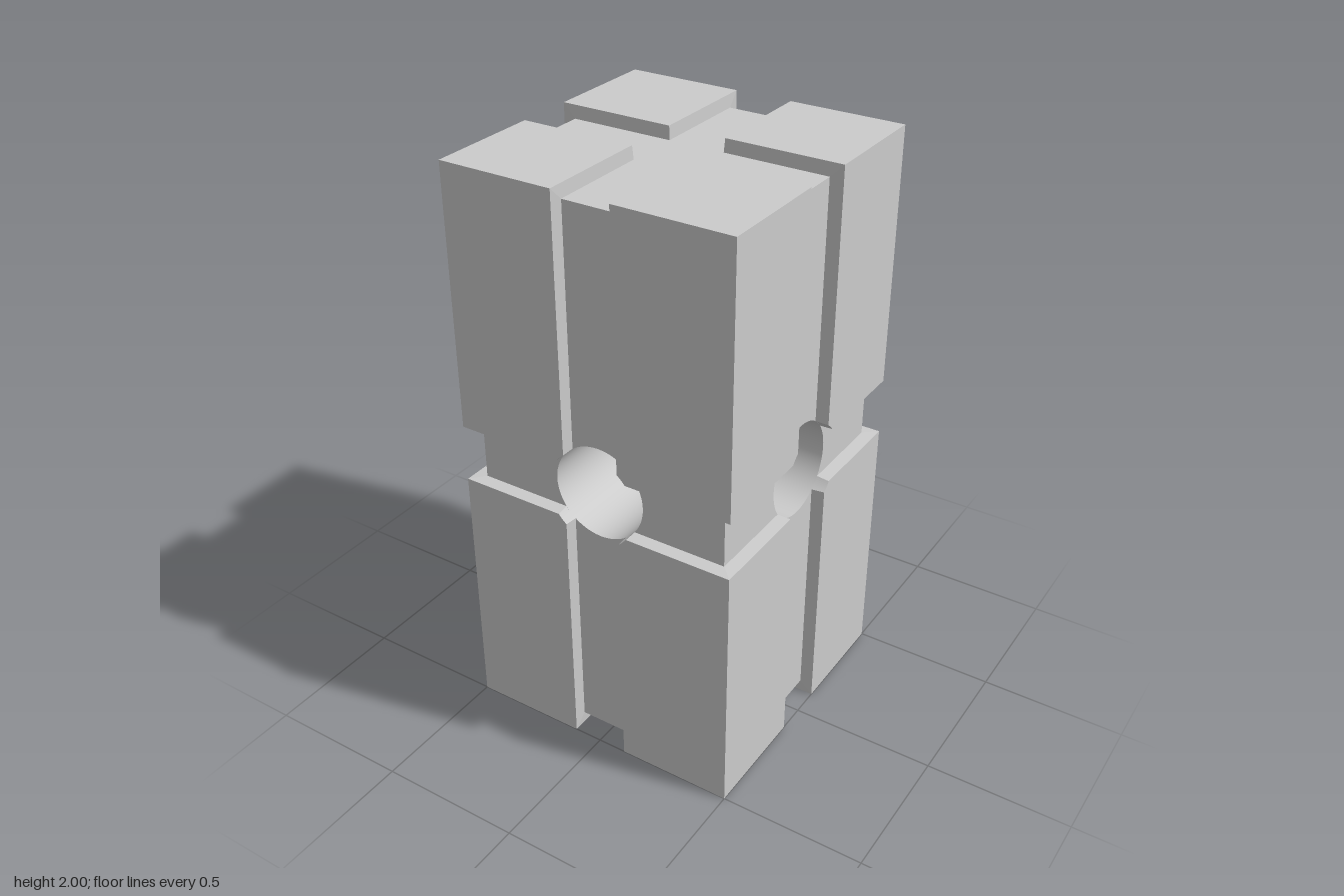
import * as THREE from 'three';
import { mergeVertices } from 'three/addons/utils/BufferGeometryUtils.js';

const R = 0.163;         // radius of the two crossing tunnels
const DEPTH = 0.045;     // groove depth
const G_OUT = 0.1;       // groove half width at the surface
const G_IN = 0.097;      // groove half width at its floor
const material = new THREE.MeshStandardMaterial({ color: 0xcccccc });

// Surface strip between two matching rows of points
function loft(a, b, smooth = false) {
  const p = [];
  const put = (...vs) => vs.forEach(v => p.push(v.x, v.y, v.z));
  for (let i = 0; i < a.length - 1; i++) {
    put(a[i], a[i + 1], b[i + 1], a[i], b[i + 1], b[i]);
  }
  let g = new THREE.BufferGeometry();
  g.setAttribute('position', new THREE.Float32BufferAttribute(p, 3));
  if (smooth) g = mergeVertices(g);
  g.computeVertexNormals();
  return g;
}

function add(group, name, geometry, z = 0) {
  const mesh = new THREE.Mesh(geometry, material);
  mesh.name = name;
  mesh.position.z = z;
  group.add(mesh);
}

const flat = points => new THREE.ShapeGeometry(new THREE.Shape(points));

// Points on the tunnel circle
function arc(from, to, n) {
  return Array.from({ length: n + 1 }, (_, i) => {
    const t = from + (to - from) * i / n;
    return new THREE.Vector2(R * Math.cos(t), R * Math.sin(t));
  });
}

// Inner edge of one quadrant block, with the corner bitten off by the tunnel
function blockEdge(w, h, g, hole) {
  const a = Math.acos(g / R);
  const corner = hole ? arc(a, Math.PI / 2 - a, 8) : [new THREE.Vector2(g, g)];
  return [new THREE.Vector2(g, h), ...corner, new THREE.Vector2(w, g)];
}

// One side of the block, facing +z at distance d from the centre
function makeFace(name, w, h, d, hole) {
  const face = new THREE.Group();
  face.name = name;

  // Four raised quadrants and their groove walls
  for (const sx of [1, -1]) for (const sy of [1, -1]) {
    const flip = v => new THREE.Vector2(v.x * sx, v.y * sy);
    const outer = blockEdge(w, h, G_OUT, hole).map(flip);
    const inner = blockEdge(w - DEPTH, h - DEPTH, G_IN, hole).map(flip);
    add(face, 'blockFace', flat([...outer, flip(new THREE.Vector2(w, h))]), d);
    const top = outer.map(v => new THREE.Vector3(v.x, v.y, d));
    const low = inner.map(v => new THREE.Vector3(v.x, v.y, d - DEPTH));
    if (sx * sy > 0) { top.reverse(); low.reverse(); }
    add(face, 'grooveWall', loft(top, low));
  }

  // Four groove floors
  for (let k = 0; k < 4; k++) {
    const end = (k % 2 ? w : h) - DEPTH;
    const a = Math.acos(G_IN / R);
    const near = hole ? arc(a, Math.PI - a, 12)
      : [new THREE.Vector2(G_IN, G_IN), new THREE.Vector2(-G_IN, G_IN)];
    const points = [new THREE.Vector2(G_IN, end), ...near, new THREE.Vector2(-G_IN, end)];
    const centre = new THREE.Vector2();
    points.forEach(v => v.rotateAround(centre, k * Math.PI / 2));
    add(face, 'grooveFloor', flat(points), d - DEPTH);
  }

  if (hole) {
    // Tunnel arm, ending where it meets the crossing tunnel
    const ring = arc(0, Math.PI * 2, 64);
    const mouth = ring.map(v => new THREE.Vector3(v.x, v.y, d - DEPTH));
    const meet = ring.map(v => new THREE.Vector3(v.x, v.y, Math.abs(v.x)));
    add(face, 'tunnel', loft(mouth, meet, true));
  } else {
    add(face, 'grooveCrossing', new THREE.PlaneGeometry(2 * G_IN, 2 * G_IN), d - DEPTH);
  }
  face.position.y = 1;
  return face;
}

export function createModel() {
  const model = new THREE.Group();
  model.name = 'groovedBlock';

  // Four upright sides with tunnel mouths
  ['frontSide', 'leftSide', 'backSide', 'rightSide'].forEach((name, k) => {
    const side = makeFace(name, 0.5, 1, 0.5, true);
    side.rotation.y = k * Math.PI / 2;
    model.add(side);
  });

  // Top and bottom
  for (const s of [1, -1]) {
    const cap = makeFace(s > 0 ? 'topSide' : 'bottomSide', 0.5, 0.5, 1, false);
    cap.rotation.x = -s * Math.PI / 2;
    model.add(cap);
  }
  return model;
}
